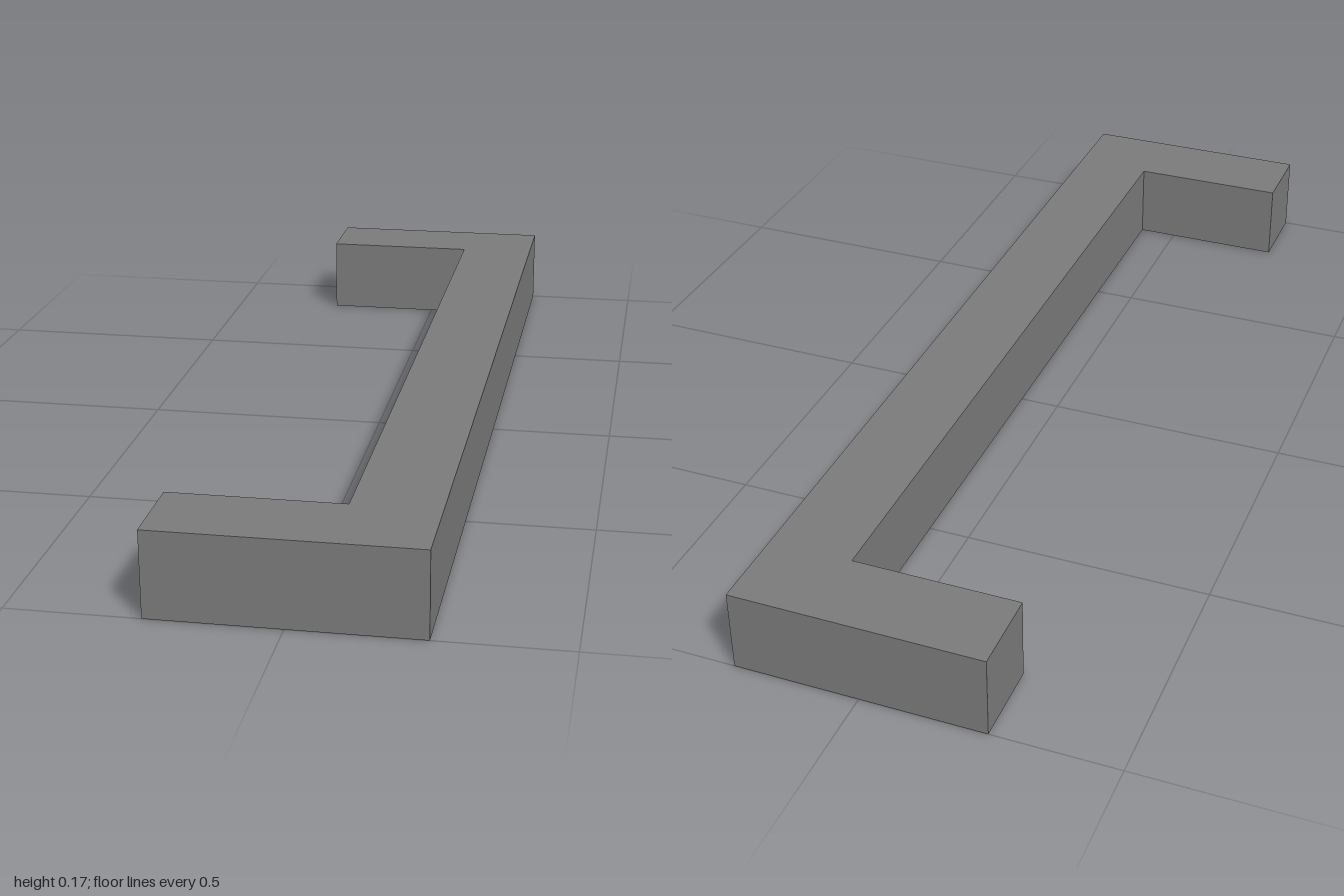
import * as THREE from 'three';

export function createModel() {
  const group = new THREE.Group();
  group.name = 'pullHandle';

  const metal = new THREE.MeshStandardMaterial({ color: 0x7a7a7a });
  metal.name = 'grey metal';

  const halfWidth = 0.25, halfLength = 1, thickness = 1 / 6;
  const innerX = halfWidth - thickness, innerZ = halfLength - thickness;

  // C-shaped outline: a long grip with a square leg at each end
  const outline = new THREE.Shape([
    [-halfWidth, -halfLength], [halfWidth, -halfLength],
    [halfWidth, halfLength], [-halfWidth, halfLength],
    [-halfWidth, innerZ], [innerX, innerZ],
    [innerX, -innerZ], [-halfWidth, -innerZ],
  ].map(([x, z]) => new THREE.Vector2(x, z)));

  // Extrude the outline and lay it flat on y = 0
  const geometry = new THREE.ExtrudeGeometry(outline, { depth: thickness, bevelEnabled: false });
  geometry.rotateX(-Math.PI / 2);

  const handle = new THREE.Mesh(geometry, metal);
  handle.name = 'handleBar';
  group.add(handle);
  return group;
}
